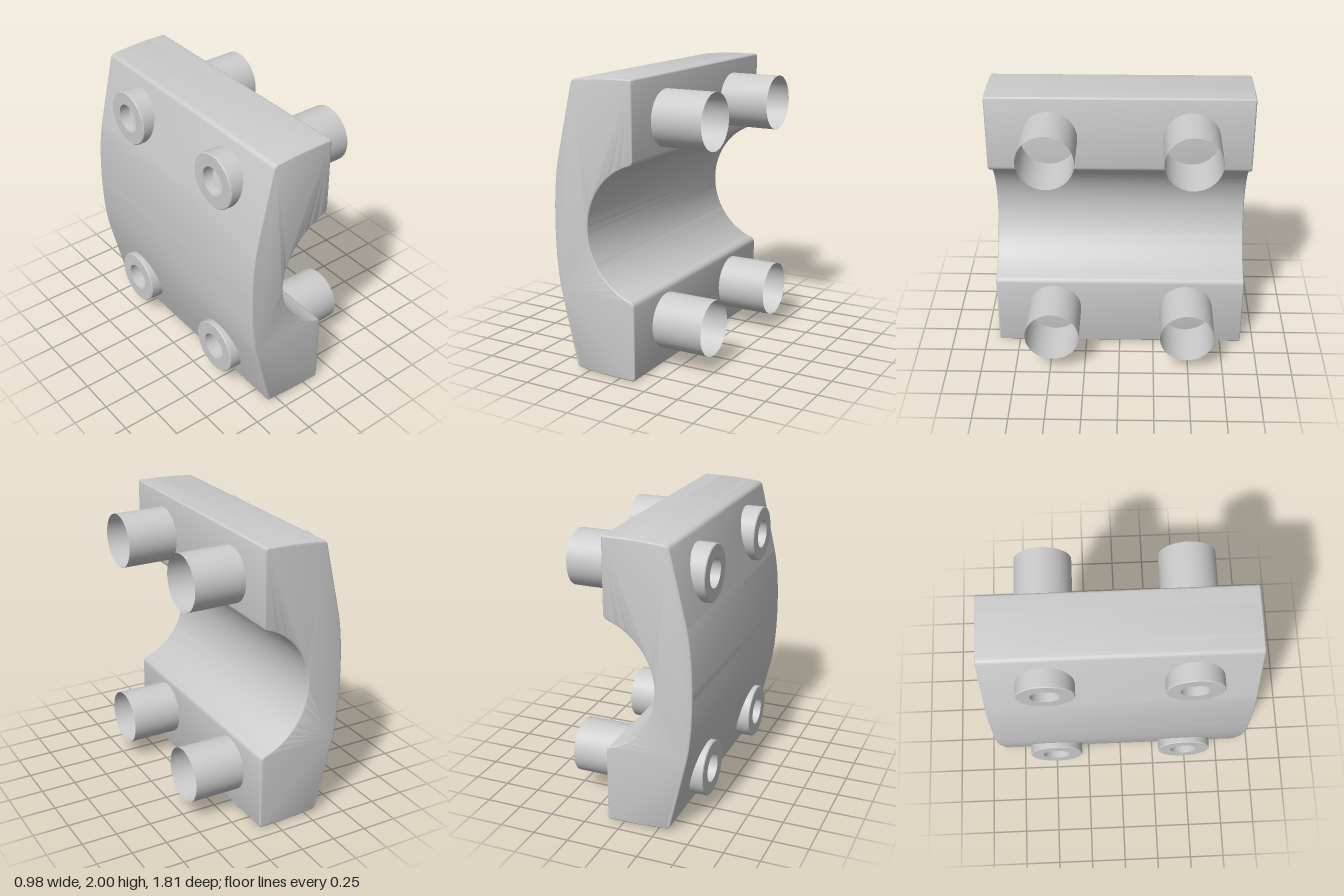
import * as THREE from 'three';
import { toCreasedNormals } from 'three/addons/utils/BufferGeometryUtils.js';

const HALF_LENGTH = 0.905;
const BEVEL = 0.012;

// Upper half of the clamp profile, from the middle of the bore round to the middle of the back
function clampOutline() {
  const half = new THREE.Path();
  half.moveTo(-0.23, 1);
  half.absarc(0.2425, 1, 0.4725, Math.PI, Math.atan2(0.447, -0.1525), true);
  half.quadraticCurveTo(0.118, 1.456, 0.12, 1.485);
  half.lineTo(0.12, 1.98);
  half.quadraticCurveTo(0.12, 2, 0.1, 2);
  half.lineTo(0, 2);
  half.quadraticCurveTo(-0.16, 1.998, -0.305, 1.982);
  half.quadraticCurveTo(-0.33, 1.979, -0.337, 1.955);
  half.lineTo(-0.45, 1.47);
  half.quadraticCurveTo(-0.49, 1.29, -0.49, 1);
  const upper = half.getPoints(14);
  const lower = upper.slice(1, -1).reverse().map((p) => new THREE.Vector2(p.x, 2 - p.y));
  return new THREE.Shape([...upper, ...lower]);
}

function clampGeometry() {
  const depth = 2 * (HALF_LENGTH - BEVEL);
  const geometry = new THREE.ExtrudeGeometry(clampOutline(), {
    depth,
    bevelEnabled: true,
    bevelThickness: BEVEL,
    bevelSize: BEVEL,
    bevelOffset: -BEVEL,
    bevelSegments: 5,
  });
  geometry.translate(0, 0, -depth / 2);
  return toCreasedNormals(geometry, 0.5);
}

// Hollow screw: socket in the head, open at the far end, axis along x
function screwGeometry() {
  const profile = [
    [0, -0.22], [0.1, -0.22], [0.1, -0.48],
    [0.187, -0.48], [0.193, -0.474], [0.193, 0.485],
  ].map(([r, y]) => new THREE.Vector2(r, y));
  const geometry = new THREE.LatheGeometry(profile, 48);
  geometry.rotateZ(-Math.PI / 2);
  return toCreasedNormals(geometry, 0.6);
}

export function createModel() {
  const model = new THREE.Group();
  model.name = 'clampBlock';
  const solid = new THREE.MeshStandardMaterial({ color: 0xcccccc });
  const open = new THREE.MeshStandardMaterial({ color: 0xcccccc, side: THREE.DoubleSide });

  const body = new THREE.Mesh(clampGeometry(), solid);
  body.name = 'clampBody';
  model.add(body);

  // Four screws through the corners
  const screw = screwGeometry();
  for (const [height, y] of [['upper', 1.705], ['lower', 0.305]]) {
    for (const [end, z] of [['Front', 0.478], ['Back', -0.487]]) {
      const mesh = new THREE.Mesh(screw, open);
      mesh.name = `${height}${end}Screw`;
      mesh.position.set(0, y, z);
      model.add(mesh);
    }
  }
  return model;
}
